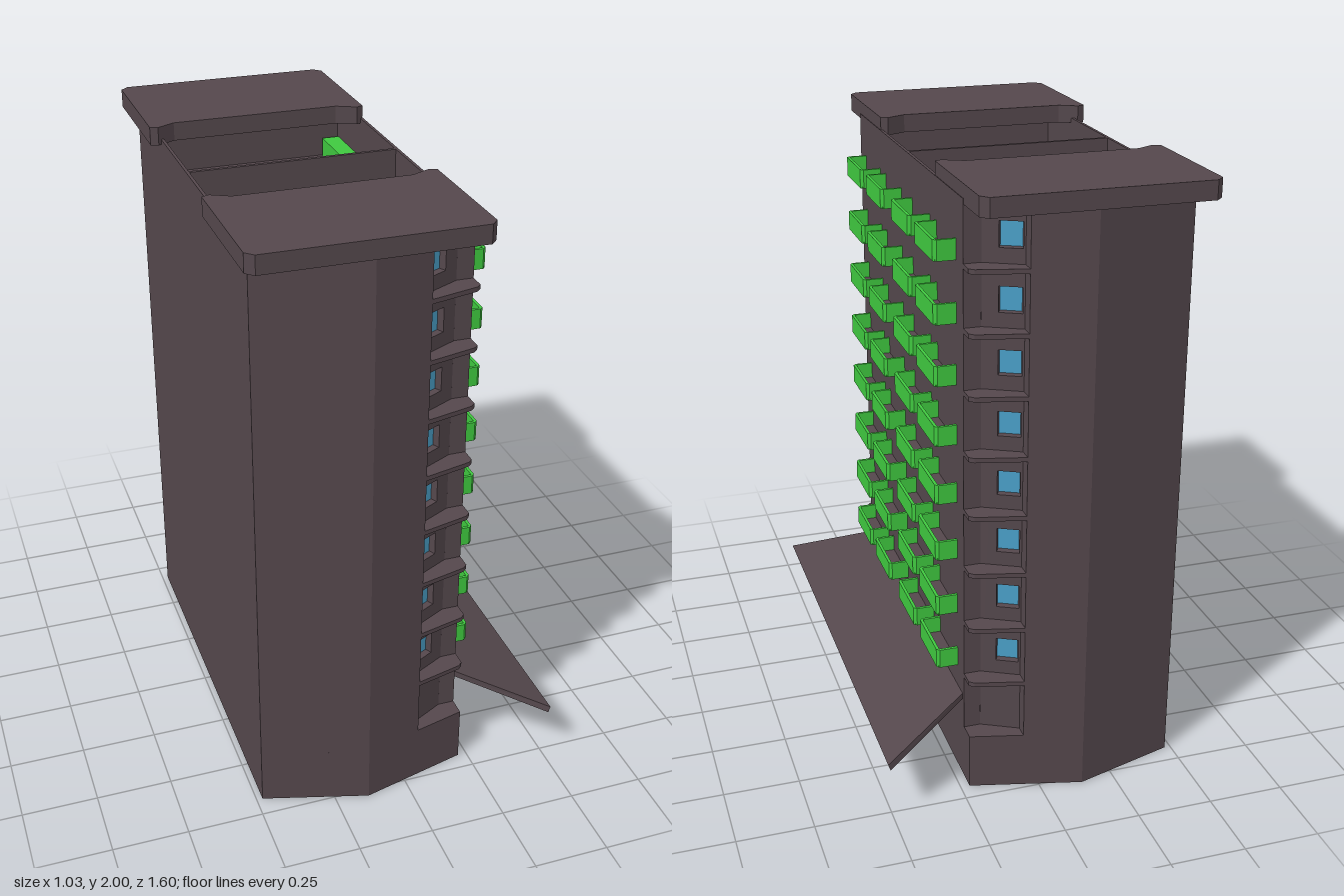
import * as THREE from 'three';

const material = (color) => new THREE.MeshStandardMaterial({ color, flatShading: true });

export function createModel() {
  const model = new THREE.Group();
  const concrete = material(0x54474c);
  const green = material(0x3fc83f);
  const blue = material(0x4aa0c8);
  const floors = 8, pitch = 0.196, firstFloor = 0.385;

  const add = (name, geometry, mat, parent = model) => {
    const mesh = new THREE.Mesh(geometry, mat);
    mesh.name = name;
    parent.add(mesh);
    return mesh;
  };

  // Box given by its limits on each axis
  const box = (name, x0, x1, y0, y1, z0, z1, mat, parent) => {
    const mesh = add(name, new THREE.BoxGeometry(x1 - x0, y1 - y0, z1 - z0), mat, parent);
    mesh.position.set((x0 + x1) / 2, (y0 + y1) / 2, (z0 + z1) / 2);
    return mesh;
  };

  // Plan outline of [x, z] points raised from y0 to y1
  const toPath = (points) => points.map(([x, z]) => new THREE.Vector2(x, -z));
  const raise = (name, points, y0, y1, mat, holes = []) => {
    const shape = new THREE.Shape(toPath(points));
    holes.forEach((h) => shape.holes.push(new THREE.Path(toPath(h))));
    const geometry = new THREE.ExtrudeGeometry(shape, { depth: y1 - y0, bevelEnabled: false });
    geometry.rotateX(-Math.PI / 2).translate(0, y0, 0);
    return add(name, geometry, mat);
  };

  // Mirror one half of a plan outline over z = 0
  const mirrored = (half) => [...half, ...half.map(([x, z]) => [x, -z]).reverse()];

  // Building mass: full base, then a tower with notched front corners
  const baseHalf = [[-0.48, 0.68], [-0.14, 0.78], [0.22, 0.69]];
  const towerHalf = [[-0.48, 0.68], [-0.14, 0.78], [0.05, 0.733], [0.05, 0.656],
    [0.165, 0.596], [0.165, 0.63], [0.22, 0.63]];
  const topFloor = firstFloor + (floors - 1) * pitch;
  raise('base', mirrored(baseHalf), 0, 0.19, concrete);
  raise('tower', mirrored(towerHalf), 0.19, topFloor, concrete);

  // Top storey: two open rooms split by a thin partition
  const room = (s) => [[-0.47, 0.006 * s], [0.21, 0.006 * s], [0.21, 0.57 * s], [-0.47, 0.57 * s]];
  raise('topStorey', mirrored(towerHalf), topFloor, 1.957, concrete, [room(1), room(-1)]);

  // Corner windows, ledges and roof slab at each end
  const slant = Math.atan2(0.06, 0.115);
  for (const s of [1, -1]) {
    const end = new THREE.Group();
    end.name = 'cornerWindows';
    end.position.set(0.1075, 0, 0.66 * s);
    end.rotation.y = s > 0 ? slant : Math.PI - slant;
    model.add(end);

    // Slanted wall with a row of window openings
    const w = 0.0648, c = -0.022 * s, h = 0.036;
    const wall = new THREE.Shape();
    wall.moveTo(-w, 0.19).lineTo(w, 0.19).lineTo(w, 1.95).lineTo(-w, 1.95).closePath();
    for (let i = 0; i < floors; i++) {
      const y = firstFloor + i * pitch + 0.055;
      const hole = new THREE.Path();
      hole.moveTo(c - h, y).lineTo(c - h, y + 0.08).lineTo(c + h, y + 0.08).lineTo(c + h, y).closePath();
      wall.holes.push(hole);
      box('windowPane', c - h, c + h, y, y + 0.08, -0.034, -0.024, blue, end);
    }
    const wallGeometry = new THREE.ExtrudeGeometry(wall, { depth: 0.03, bevelEnabled: false });
    add('windowWall', wallGeometry.translate(0, 0, -0.03), concrete, end);

    // Ledges filling the corner notch at every floor
    const ledge = [[0.04, 0.735], [0.05, 0.733], [0.205, 0.694], [0.22, 0.68], [0.22, 0.62], [0.04, 0.62]];
    for (let i = 0; i < floors; i++) {
      const y = firstFloor + i * pitch;
      raise('cornerLedge', ledge.map(([x, z]) => [x, z * s]), y - 0.007, y + 0.008, concrete);
    }

    // Roof slab with clipped corners and a shallow recess on its inner edge
    const slab = [[-0.515, 0.775], [-0.49, 0.8], [0.195, 0.8], [0.218, 0.775], [0.218, 0.335],
      [0.195, 0.325], [0.13, 0.357], [-0.43, 0.357], [-0.49, 0.325], [-0.515, 0.335]];
    raise('roofSlab', slab.map(([x, z]) => [x, z * s]), 1.94, 2, concrete);
  }

  // Balconies: four trays per floor
  for (let i = 0; i < floors; i++) {
    const y0 = firstFloor + i * pitch, y1 = y0 + 0.065;
    for (const z of [0.4525, 0.17, -0.17, -0.4525]) {
      const a = z - 0.108, b = z + 0.108, t = 0.01;
      const rail = [[0.215, a], [0.28, a], [0.29, a + t], [0.29, b - t], [0.28, b], [0.215, b],
        [0.215, b - t], [0.28, b - t], [0.28, a + t], [0.215, a + t]];
      raise('balconyRail', rail, y0, y1, green);
      box('balconyBottom', 0.215, 0.285, y0, y0 + 0.006, a + 0.003, b - 0.003, green);
      box('balconyFloor', 0.215, 0.281, y0 + 0.006, y0 + 0.01, a + t, b - t, concrete);
      // Inner part of the balcony, reaching into the open rooms
      if (i === floors - 1) box('innerBalcony', 0.15, 0.212, y0, y1, a, b, green);
    }
  }

  // Entrance canopy: sloping slab that widens outward
  const canopy = new THREE.BoxGeometry(1, 1, 1);
  const p = canopy.attributes.position;
  for (let i = 0; i < p.count; i++) {
    const outer = p.getX(i) > 0;
    const top = p.getY(i) > 0;
    p.setXYZ(i, outer ? (top ? 0.514 : 0.507) : 0.215,
      (outer ? 0.203 : 0.31) - (top ? 0 : 0.021),
      Math.sign(p.getZ(i)) * (outer ? 0.78 : 0.61));
  }
  canopy.computeVertexNormals();
  add('entranceCanopy', canopy, concrete);

  return model;
}
